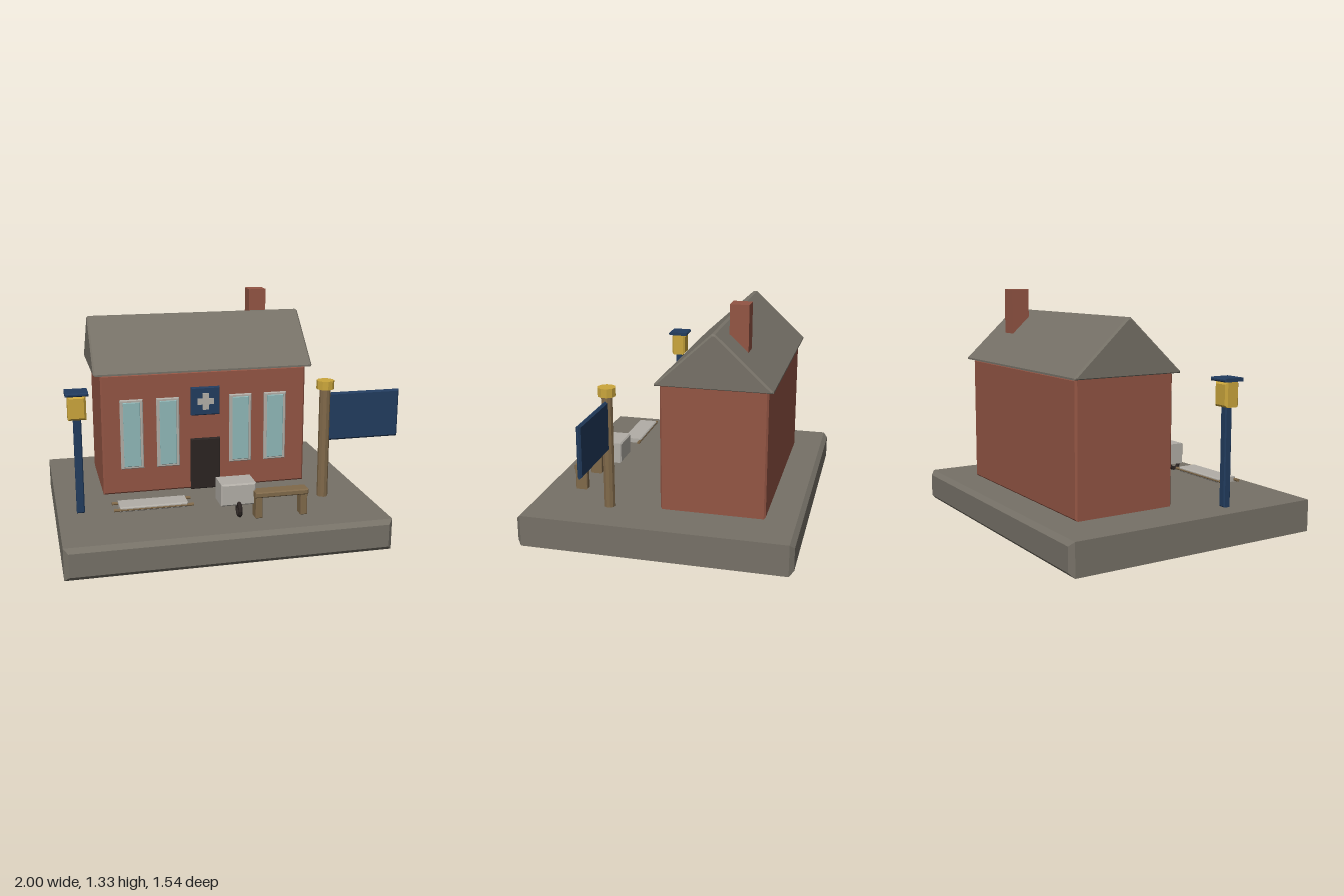
import * as THREE from 'three';

const mat = (name, color) => new THREE.MeshStandardMaterial({ name, color, flatShading: true });

export function createModel() {
  const stone = mat('stone', 0x767167);
  const brick = mat('brick', 0x935544);
  const pale = mat('paleGrey', 0xb2aea7);
  const glass = mat('glass', 0x8fb8b8);
  const navy = mat('navy', 0x223c5e);
  const gold = mat('gold', 0xcba63c);
  const wood = mat('wood', 0x80694a);
  const dark = mat('dark', 0x2b2422);

  const model = new THREE.Group();
  model.name = 'stationHouse';

  const group = (name, parent = model) => {
    const g = new THREE.Group();
    g.name = name;
    parent.add(g);
    return g;
  };
  const add = (parent, name, geometry, material) => {
    const m = new THREE.Mesh(geometry, material);
    m.name = name;
    parent.add(m);
    return m;
  };

  // Box given by its limits, with every edge chamfered by c
  const box = (parent, name, material, [x0, x1], [y0, y1], [z0, z1], c = 0) => {
    let g;
    const w = x1 - x0, h = y1 - y0, d = z1 - z0;
    if (c > 0) {
      const a = w / 2 - c, b = h / 2 - c;
      const s = new THREE.Shape([
        new THREE.Vector2(-a, -b), new THREE.Vector2(a, -b),
        new THREE.Vector2(a, b), new THREE.Vector2(-a, b),
      ]);
      g = new THREE.ExtrudeGeometry(s, {
        depth: d - 2 * c, bevelEnabled: true, bevelSegments: 1, bevelSize: c, bevelThickness: c,
      });
      g.translate(0, 0, c - d / 2);
    } else {
      g = new THREE.BoxGeometry(w, h, d);
    }
    g.translate((x0 + x1) / 2, (y0 + y1) / 2, (z0 + z1) / 2);
    return add(parent, name, g, material);
  };

  const FLOOR = 0.18;
  box(model, 'base', stone, [-1, 0.8], [0, FLOOR], [-0.775, 0.77], 0.025);

  // House body, gabled roof and chimney
  const house = group('house');
  box(house, 'walls', brick, [-0.715, 0.52], [FLOOR, 0.905], [-0.58, 0.015], 0.01);
  const gable = new THREE.Shape([
    new THREE.Vector2(-0.608, 0.905), new THREE.Vector2(0.038, 0.905),
    new THREE.Vector2(0.038, 0.915), new THREE.Vector2(-0.275, 1.205),
    new THREE.Vector2(-0.295, 1.205), new THREE.Vector2(-0.608, 0.915),
  ]);
  const roof = new THREE.ExtrudeGeometry(gable, {
    depth: 1.29, bevelEnabled: true, bevelSegments: 1,
    bevelSize: 0.01, bevelThickness: 0.01, bevelOffset: -0.01,
  });
  roof.rotateY(-Math.PI / 2).translate(0.545, 0, 0);
  add(house, 'roof', roof, stone);
  box(house, 'chimney', brick, [0.26, 0.365], [0.95, 1.33], [-0.44, -0.335]);

  // Tall windows either side of the door
  for (const x of [-0.54, -0.325, 0.115, 0.33]) {
    const w = group('window', house);
    box(w, 'windowFrame', pale, [x - 0.068, x + 0.068], [0.335, 0.755], [0, 0.028], 0.005);
    box(w, 'windowGlass', glass, [x - 0.05, x + 0.05], [0.35, 0.74], [0.026, 0.034], 0.003);
  }
  box(house, 'door', dark, [-0.19, -0.01], [FLOOR, 0.495], [0, 0.034], 0.006);

  // Square plaque with a pale cross
  const plaque = group('plaque', house);
  box(plaque, 'plaqueBoard', navy, [-0.187, -0.013], [0.64, 0.81], [0, 0.035], 0.006);
  box(plaque, 'crossBar', pale, [-0.15, -0.05], [0.707, 0.743], [0.03, 0.043]);
  box(plaque, 'crossUpright', pale, [-0.118, -0.082], [0.675, 0.775], [0.03, 0.044]);

  // Street lamp
  const lamp = group('streetLamp');
  const lx = -0.87, lz = 0.255;
  const around = (c, r) => [c - r, c + r];
  box(lamp, 'lampPole', navy, around(lx, 0.022), [FLOOR, 0.74], around(lz, 0.022), 0.006);
  box(lamp, 'lantern', gold, around(lx, 0.05), [0.725, 0.86], around(lz, 0.045), 0.012);
  box(lamp, 'lampCap', navy, around(lx, 0.063), [0.862, 0.882], around(lz, 0.063), 0.006);

  // Post with hanging board
  const sign = group('signPost');
  const px = 0.545, pz = 0.305;
  add(sign, 'post', new THREE.CylinderGeometry(0.032, 0.032, 0.65, 10), wood)
    .position.set(px, FLOOR + 0.325, pz);
  add(sign, 'postCap', new THREE.CylinderGeometry(0.051, 0.051, 0.05, 10), gold)
    .position.set(px, 0.855, pz);
  box(sign, 'signBoard', navy, [0.56, 1], [0.52, 0.805], [0.292, 0.318], 0.01);

  // Stretcher: canvas between two poles
  const stretcher = group('stretcher');
  box(stretcher, 'canvas', pale, [-0.675, -0.3], [0.25, 0.278], [0.375, 0.495], 0.006);
  for (const z of [0.382, 0.488]) {
    const pole = add(stretcher, 'stretcherPole', new THREE.CylinderGeometry(0.009, 0.009, 0.44, 8), wood);
    pole.rotation.z = Math.PI / 2;
    pole.position.set(-0.487, 0.262, z);
  }

  // Handcart with one wheel
  const cart = group('cart');
  box(cart, 'cartBox', pale, [-0.122, 0.075], [0.25, 0.376], [0.387, 0.538], 0.008);
  const wheel = add(cart, 'cartWheel', new THREE.TorusGeometry(0.033, 0.012, 6, 12), dark);
  wheel.rotation.y = Math.PI / 2;
  wheel.position.set(-0.023, 0.23, 0.543);

  // Bench
  const bench = group('bench');
  box(bench, 'benchSeat', wood, [0.06, 0.365], [0.3, 0.332], [0.5, 0.584], 0.006);
  for (const x of [0.083, 0.342]) {
    box(bench, 'benchLeg', wood, around(x, 0.019), [FLOOR, 0.305], [0.506, 0.578], 0.004);
  }

  return model;
}
